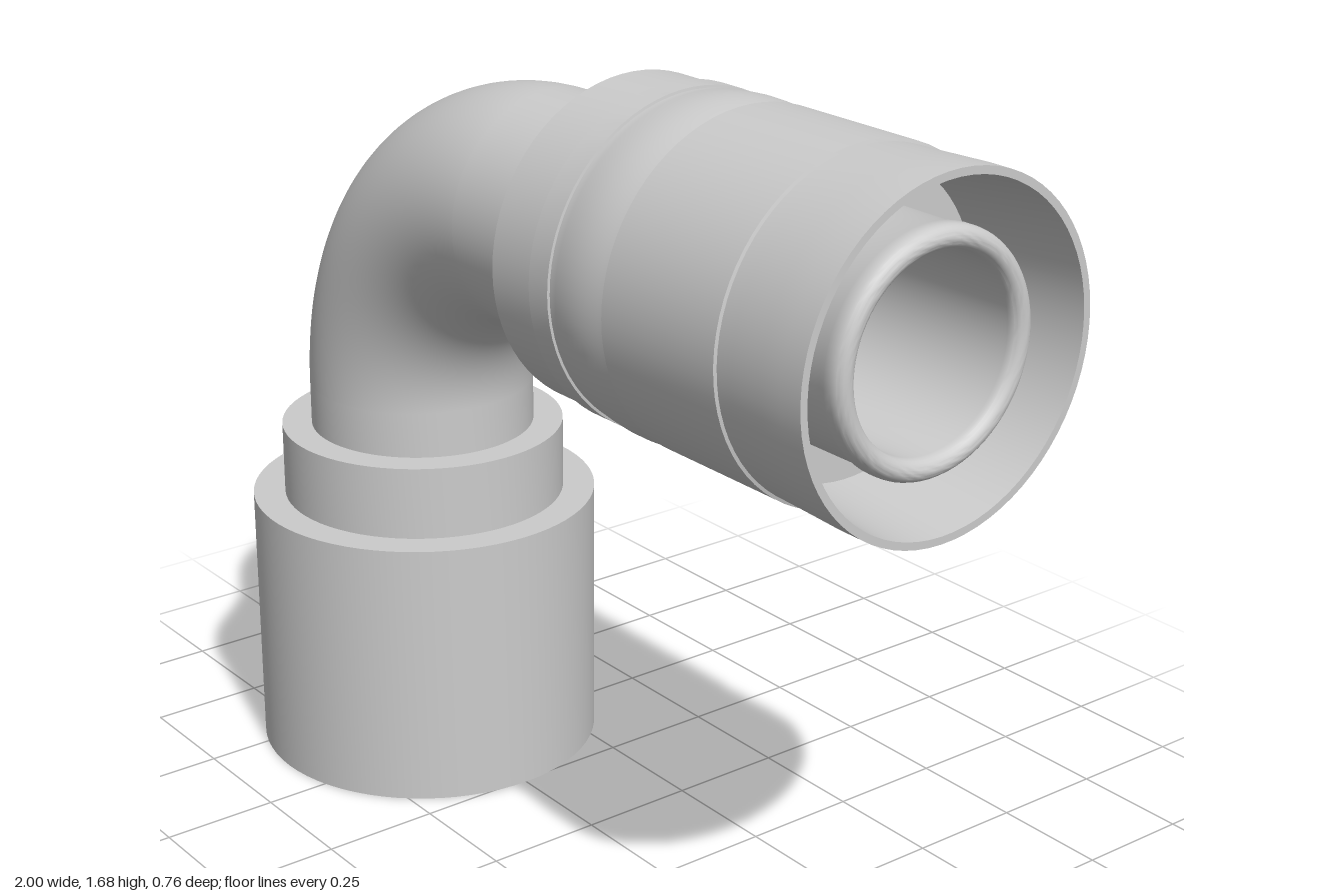
import * as THREE from 'three';
import { toCreasedNormals } from 'three/addons/utils/BufferGeometryUtils.js';

const material = new THREE.MeshStandardMaterial({ color: 0xcccccc, side: THREE.DoubleSide });
const SIDES = 72;
const BASE_X = -0.62, AXIS_Y = 1.345, BEND = 0.495;
const BEND_X = BASE_X + BEND, BEND_Y = AXIS_Y - BEND;
const PIPE_R = 0.245, BORE_R = 0.22;

// Turned part from [radius, distance along axis] pairs, with crisp edges.
function turned(name, profile) {
  const points = profile.map(([r, d]) => new THREE.Vector2(r, d));
  const geometry = toCreasedNormals(new THREE.LatheGeometry(points, SIDES), 0.4);
  const mesh = new THREE.Mesh(geometry, material);
  mesh.name = name;
  return mesh;
}

// Turned part standing on the vertical axis of the base.
function upright(name, profile) {
  const mesh = turned(name, profile);
  mesh.position.x = BASE_X;
  return mesh;
}

// Turned part lying along the horizontal axis, distances measured in x.
function lying(name, profile) {
  const mesh = turned(name, profile);
  mesh.rotation.z = -Math.PI / 2;
  mesh.position.y = AXIS_Y;
  return mesh;
}

// Quarter-circle elbow surface.
function elbow(name, radius) {
  const geometry = new THREE.TorusGeometry(BEND, radius, SIDES, 48, Math.PI / 2);
  geometry.rotateZ(Math.PI / 2);
  const mesh = new THREE.Mesh(geometry, material);
  mesh.name = name;
  mesh.position.set(BEND_X, BEND_Y, 0);
  return mesh;
}

export function createModel() {
  const model = new THREE.Group();
  model.name = 'elbowFitting';

  // Hollow base cup with stepped collar
  model.add(upright('baseSocket', [
    [0.36, 0], [0.38, 0], [0.38, 0.59], [0.31, 0.59], [0.31, 0.75], [BORE_R, 0.75],
    [BORE_R, 0.22], [0.36, 0.22], [0.36, 0],
  ]));

  // Bent pipe: outer skin and bore
  for (const [label, r] of [['pipe', PIPE_R], ['bore', BORE_R]]) {
    model.add(upright(label + 'Riser', [[r, 0.74], [r, BEND_Y]]));
    model.add(elbow(label + 'Bend', r));
    model.add(lying(label + 'Run', [[r, BEND_X], [r, 0.2]]));
  }
  model.add(lying('pipeFillet', [
    [PIPE_R, 0.112], [0.248, 0.12], [0.254, 0.126], [0.262, 0.13],
  ]));

  // Sleeve: rear shoulder, grooves, soft bulge, flared mouth and recess
  const bulge = [];
  for (let i = 0; i <= 10; i++) {
    bulge.push([0.329 + 0.007 * Math.sin(Math.PI * i / 10), 0.315 + 0.155 * i / 10]);
  }
  model.add(lying('sleeve', [
    [BORE_R, 0.13], [0.328, 0.13], [0.328, 0.249], [0.325, 0.25], [0.328, 0.252],
    [0.334, 0.253], [0.334, 0.31], [0.329, 0.311],
    ...bulge,
    [0.335, 0.472], [0.335, 0.78], [0.329, 0.782], [0.33, 0.82], [0.333, 0.9],
    [0.335, 0.95], [0.335, 1], [0.32, 1], [0.295, 0.75], [0.2, 0.75],
  ]));

  // Inner nozzle with a rounded lip
  const lip = [];
  for (let i = 0; i <= 12; i++) {
    const a = Math.PI * i / 12;
    lip.push([0.206 + 0.022 * Math.cos(a), 0.95 + 0.025 * Math.sin(a)]);
  }
  model.add(lying('nozzle', [
    [0.222, 0.74], [0.222, 0.92], [0.228, 0.935], ...lip, [0.184, 0.2], [BORE_R, 0.2],
  ]));

  return model;
}
